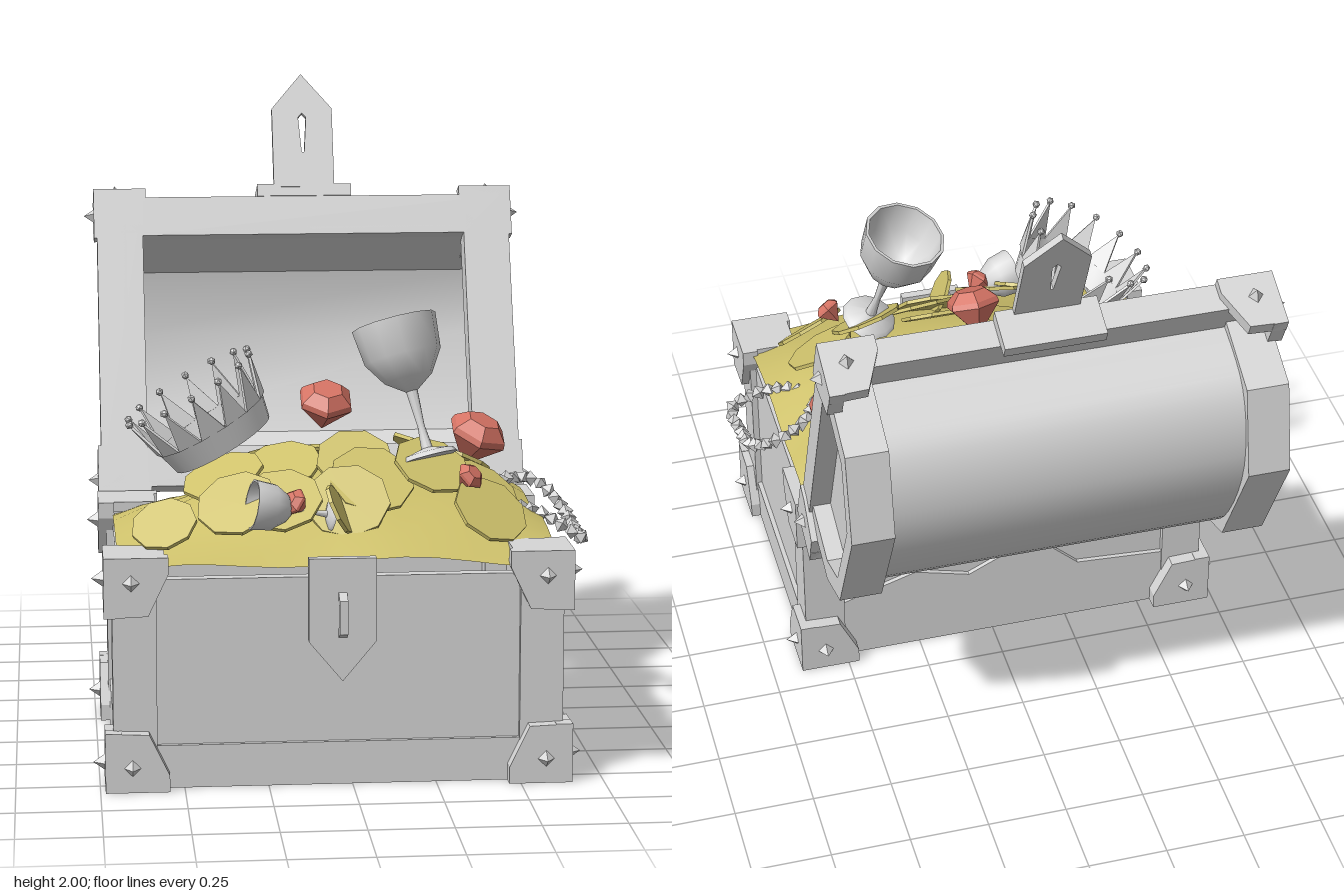
import * as THREE from 'three';
import { toCreasedNormals } from 'three/addons/utils/BufferGeometryUtils.js';

const CX = -0.04; // chest centre line

export function createModel() {
  const grey = new THREE.MeshStandardMaterial({ color: 0xd6d6d6, side: THREE.DoubleSide });
  const gold = new THREE.MeshStandardMaterial({ color: 0xcfc26c, side: THREE.DoubleSide });
  const red = new THREE.MeshStandardMaterial({ color: 0xd57364 });
  grey.name = 'silver grey'; gold.name = 'gold'; red.name = 'ruby red';
  const model = new THREE.Group();

  const group = (name, parent = model) => {
    const g = new THREE.Group();
    g.name = name;
    parent.add(g);
    return g;
  };
  const add = (parent, name, geo, mat = grey, x = 0, y = 0, z = 0, crease = 0.3) => {
    const m = new THREE.Mesh(toCreasedNormals(geo, crease), mat);
    m.name = name;
    m.position.set(x, y, z);
    parent.add(m);
    return m;
  };
  const box = (parent, name, w, h, d, x, y, z) => add(parent, name, new THREE.BoxGeometry(w, h, d), grey, x, y, z);
  const shape = (pts) => new THREE.Shape(pts.map(([x, y]) => new THREE.Vector2(x, y)));
  const plate = (pts, depth, hole) => {
    const s = shape(pts);
    if (hole) s.holes.push(shape(hole));
    return new THREE.ExtrudeGeometry(s, { depth, bevelEnabled: false });
  };
  // plate whose outline is given as (z, y), centred along x
  const sidePlate = (pts, depth, hole) => plate(pts, depth, hole).rotateY(-Math.PI / 2).translate(depth / 2, 0, 0);
  const aim = (obj, x, y, z) =>
    obj.quaternion.setFromUnitVectors(new THREE.Vector3(0, 1, 0), new THREE.Vector3(x, y, z).normalize());

  // Corner bracket: outer corner at the origin, reaching to -x, +y, -z
  const outline = [[0, 0], [-0.19, 0], [-0.19, 0.05], [-0.13, 0.175], [0, 0.18]];
  function bracket(parent, x, y, z, sx, sy, sz) {
    const g = group('cornerBracket', parent);
    g.position.set(x, y, z);
    g.scale.set(sx, sy, sz);
    add(g, 'bracketFront', plate(outline, 0.05), grey, 0, 0, -0.05);
    add(g, 'bracketSide', sidePlate(outline, 0.05), grey, -0.025, 0, 0);
    box(g, 'bracketCap', 0.18, 0.03, 0.18, -0.09, 0.015, -0.09);
    add(g, 'frontStud', new THREE.ConeGeometry(0.025, 0.035, 4).rotateX(Math.PI / 2), grey, -0.08, 0.075, 0.0175);
    add(g, 'sideStud', new THREE.ConeGeometry(0.025, 0.035, 4).rotateZ(-Math.PI / 2), grey, 0.0175, 0.075, -0.08);
    return g;
  }

  // Chest body, open underneath
  const chest = group('chestBody');
  const MZ = 0.33;
  for (const s of [-1, 1]) {
    box(chest, 'sideWall', 0.04, 0.63, 0.86, CX + s * 0.63, 0.315, MZ);
    box(chest, 'longWall', 1.28, 0.63, 0.04, CX, 0.315, MZ + s * 0.42);
    box(chest, 'sideRail', 0.05, 0.13, 0.88, CX + s * 0.64, 0.065, MZ);
    box(chest, 'longRail', 1.3, 0.13, 0.05, CX, 0.065, MZ + s * 0.43);
    for (const t of [-1, 1]) {
      box(chest, 'cornerPost', 0.13, 0.68, 0.13, CX + s * 0.605, 0.34, MZ + t * 0.395);
      bracket(chest, CX + s * 0.695, 0, MZ + t * 0.5, s, 1, t);
      bracket(chest, CX + s * 0.695, 0.708, MZ + t * 0.5, s, -1, t);
    }
  }
  const broken = [[-0.55, 0], [0.55, 0], [0.55, 0.22], [0.3, 0.3], [0.12, 0.25], [-0.1, 0.36], [-0.25, 0.22], [-0.55, 0.2]];
  add(chest, 'brokenBackPlank', plate(broken, 0.02), grey, CX, 0, -0.125);

  // Lock plate with staple
  const lock = group('lockPlate');
  lock.position.set(-0.035, 0, 0.78);
  add(lock, 'lockFace', plate([[-0.1, 0.7], [-0.1, 0.45], [0, 0.33], [0.1, 0.45], [0.1, 0.7]], 0.03), grey, 0, 0, 0.035);
  add(lock, 'staple', sidePlate([[0.06, 0.46], [0.105, 0.48], [0.105, 0.58], [0.06, 0.6]], 0.025,
    [[0.065, 0.49], [0.088, 0.5], [0.088, 0.56], [0.065, 0.575]]));

  // Open lid: local y runs up the rim, -z runs into the barrel
  const lid = group('lid');
  lid.position.set(CX, 0.69, -0.175);
  lid.rotation.x = -0.4;
  const arch = [[0, 0.1], [-0.31, 0.12], [-0.45, 0.25], [-0.484, 0.68], [-0.322, 0.915], [0, 0.93]];
  const shrink = (k) => arch.map(([z, y]) => [z * k, 0.52 + (y - 0.52) * k]);
  for (const s of [-1, 1]) {
    add(lid, 'endBand', sidePlate(arch, 0.13, shrink(0.8).map(([z, y]) => [z - 0.04, y])), grey, s * 0.605);
    add(lid, 'endPanel', sidePlate(shrink(0.95), 0.03), grey, s * 0.6);
    for (const t of [-1, 1]) {
      const b = bracket(lid, s * 0.69, t > 0 ? 1.03 : 0, 0, s * 0.9, 1, t * 0.88);
      b.rotation.x = -Math.PI / 2;
    }
  }
  // barrel shell, smooth outside and angular inside
  const curve = new THREE.CatmullRomCurve3(shrink(0.915).map(([z, y]) => new THREE.Vector3(z, y, 0)));
  const arc = curve.getPoints(30).map((p) => [p.x, p.y]);
  const inner = [[0, 0.88], [-0.3, 0.825], [-0.405, 0.64], [-0.385, 0.29], [-0.27, 0.18], [0, 0.16]];
  add(lid, 'barrel', sidePlate([...arc, ...inner], 1.2), grey, 0, 0, 0, 0.6);
  const rect = (w, y0, y1) => [[-w, y0], [w, y0], [w, y1], [-w, y1]];
  add(lid, 'rim', plate(rect(0.68, 0.03, 1.0), 0.09, rect(0.53, 0.15, 0.87)), grey, 0, 0, -0.09);
  box(lid, 'haspBase', 0.31, 0.04, 0.13, 0.005, 1.02, -0.06);
  add(lid, 'hasp', plate([[-0.1, 1.03], [0.1, 1.03], [0.1, 1.3], [0, 1.42], [-0.1, 1.3]], 0.022,
    [[-0.004, 1.15], [0.004, 1.15], [0.013, 1.27], [0, 1.285], [-0.013, 1.27]]), grey, 0.005, 0, -0.015);

  // Gold heap, piled up again towards the back right corner of the chest
  const height = (x, z) => {
    const a = Math.max(0, 1 - ((x + 0.02) / 0.68) ** 2), b = Math.max(0, 1 - Math.abs((z - 0.34) / 0.5) ** 1.4);
    const corner = 0.12 * Math.exp(-((x - 0.47) ** 2 + (z + 0.06) ** 2) / 0.03);
    return 0.655 + 0.19 * a * b + 0.04 * b * (x > 0 ? 1 : 0.5) + corner + 0.015 * Math.sin(x * 9) * Math.cos(z * 7);
  };
  const heap = new THREE.PlaneGeometry(1.31, 0.96, 14, 10).rotateX(-Math.PI / 2).translate(-0.035, 0, 0.32);
  const hp = heap.attributes.position;
  for (let i = 0; i < hp.count; i++) hp.setY(i, height(hp.getX(i), hp.getZ(i)));
  add(model, 'goldHeap', heap, gold, 0, 0, 0, 0.8);

  // Coins [x, y, z, radius, lean in x, lean in z]
  const coins = group('coins');
  [[-0.32, 0.8, -0.01, 0.125, -0.6, -0.4], [-0.12, 0.82, -0.01, 0.125, -0.4, -0.4], [0.05, 0.83, 0, 0.125, 0.4, -0.4],
    [0.31, 0.86, 0.11, 0.14, 0.6, -0.3], [0.4, 0.84, 0.04, 0.11, 0.4, -0.3], [-0.36, 0.86, 0.38, 0.13, -0.35, 0.3],
    [-0.18, 0.89, 0.38, 0.125, -0.2, 0.4], [-0.55, 0.77, 0.65, 0.1, -0.3, 0.7], [-0.33, 0.82, 0.61, 0.125, -0.3, 0.7],
    [-0.2, 0.83, 0.62, 0.125, -0.15, 0.7], [0, 0.82, 0.6, 0.13, -0.1, 1], [0.08, 0.87, 0.53, 0.13, 0.1, 0.8],
    [0.27, 0.9, 0.47, 0.12, 0.3, 0.6], [0.43, 0.79, 0.62, 0.12, 0.5, 0.8], [0.43, 0.83, 0.45, 0.12, 0.5, 0.4],
    [0.04, 0.91, 0.42, 0.12, 0, 0.8], [-0.03, 0.81, 0.67, 0.08, 2, 0.4]]
    .forEach(([x, y, z, r, nx, nz]) =>
      aim(add(coins, 'coin', new THREE.CylinderGeometry(r, r, 0.012, 9), gold, x, y, z), nx, 1, nz));

  // Goblets: bowl rim at the top of the profile
  const profile = [[0, 0], [0.09, 0], [0.08, 0.015], [0.018, 0.03], [0.011, 0.1], [0.018, 0.21], [0.075, 0.25], [0.12, 0.32],
    [0.132, 0.43], [0.122, 0.43], [0.11, 0.33], [0.06, 0.27], [0, 0.25]].map(([x, y]) => new THREE.Vector2(x, y));
  function goblet(name, x, y, z, dx, dy, dz, k) {
    const m = add(model, name, new THREE.LatheGeometry(profile, 12), grey, x, y, z, 0.8);
    m.scale.setScalar(k);
    aim(m, dx, dy, dz);
  }
  goblet('tallGoblet', 0.265, 0.92, 0.45, -0.1, 0.41, -0.13, 1);
  goblet('fallenGoblet', -0.05, 0.79, 0.65, -0.27, 0.05, 0.05, 0.58);

  // Crown
  const crown = group('crown');
  crown.position.set(-0.36, 0.96, 0.38);
  aim(crown, -0.5, 0.85, 0);
  add(crown, 'crownBand', new THREE.CylinderGeometry(0.185, 0.165, 0.08, 28, 1, true), grey, 0, 0.04, 0, 0.8);
  for (let i = 0; i < 14; i++) {
    const g = group('crownPoint', crown);
    g.rotation.y = (i / 14) * Math.PI * 2;
    const spike = add(g, 'spike', plate([[-0.041, 0], [0.041, 0], [0, 0.13]], 0.008), grey, 0, 0.075, 0.178);
    spike.rotation.x = 0.25;
    add(g, 'pearl', new THREE.IcosahedronGeometry(0.013, 0), grey, 0, 0.205, 0.215);
  }

  // Cut gems
  const gemProfile = [[0, -1], [1, 0.15], [0.95, 0.35], [0.55, 0.7], [0, 0.7]].map(([x, y]) => new THREE.Vector2(x, y));
  [[-0.035, 1.05, 0.24, 0.09, 0.1, 1, 0.5], [0.46, 0.9, 0.04, 0.1, 0.4, 1, 0.3],
    [-0.16, 0.83, 0.67, 0.045, -0.6, 0.5, 0.4], [0.37, 0.88, 0.57, 0.045, 0.5, 0.6, 0.5]]
    .forEach(([x, y, z, r, dx, dy, dz]) => {
      const g = add(model, 'gem', new THREE.LatheGeometry(gemProfile, 6), red, x, y, z, 0.05);
      g.scale.setScalar(r);
      aim(g, dx, dy, dz);
    });

  // Bead necklace draped over the side
  const necklace = group('necklace');
  const string = new THREE.CatmullRomCurve3([[0.49, 0.79, 0.24], [0.56, 0.79, 0.13], [0.65, 0.77, 0.09], [0.72, 0.7, 0.17],
    [0.735, 0.66, 0.3], [0.735, 0.66, 0.43], [0.62, 0.73, 0.4], [0.5, 0.76, 0.33]].map((p) => new THREE.Vector3(...p)));
  string.getSpacedPoints(26).forEach((p, i) => {
    const b = add(necklace, 'bead', new THREE.OctahedronGeometry(0.026, 0), grey, p.x, p.y, p.z);
    b.rotation.set(i, i * 1.7, 0);
  });
  return model;
}
